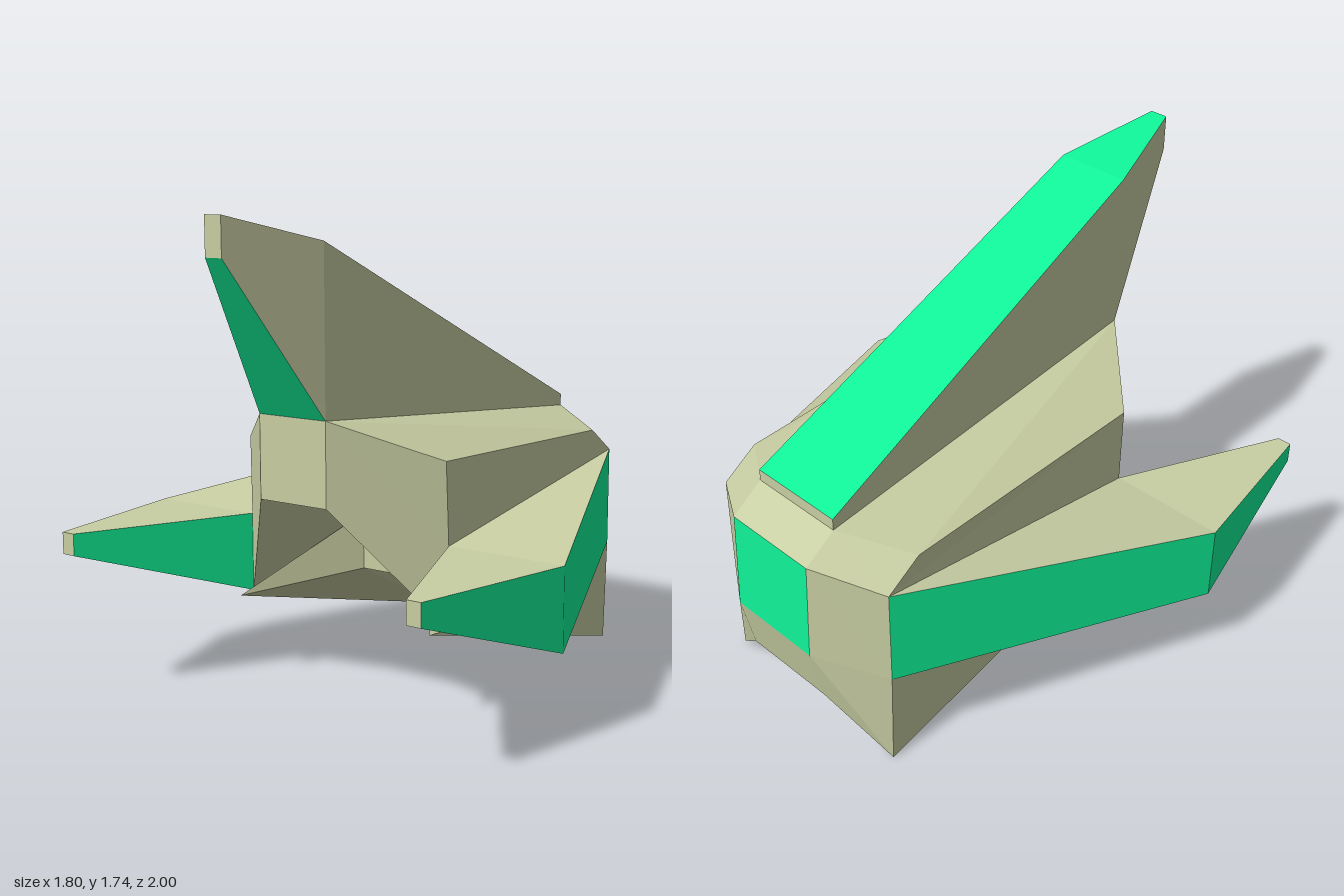
import * as THREE from 'three';

const tan = new THREE.MeshStandardMaterial({ color: 0xc8cea3, flatShading: true, side: THREE.DoubleSide });
const green = new THREE.MeshStandardMaterial({ color: 0x10f096, flatShading: true, side: THREE.DoubleSide });

// The tail end sits slightly to the right of the centre line
const skew = ([x, y, z]) => new THREE.Vector3(z < -0.5 ? x - 0.02 : x, y, z);
const flip = ([x, y, z]) => [-x, y, z];
const mirrored = faces => [...faces, ...faces.map(f => f.map(flip))];
// Panel spanning both sides between two points
const across = (a, b) => [a, b, flip(b), flip(a)];

// Flat polygons as triangle fans, wound to face away from an inner point
function panels(name, faces, material, inside) {
  const centre = new THREE.Vector3(...inside);
  const pos = [];
  for (const face of faces) {
    const p = face.map(skew);
    for (let i = 1; i < p.length - 1; i++) {
      const t = new THREE.Triangle(p[0], p[i], p[i + 1]);
      const n = t.getNormal(new THREE.Vector3());
      const out = n.dot(t.a.clone().sub(centre)) >= 0;
      for (const v of out ? [t.a, t.b, t.c] : [t.a, t.c, t.b]) pos.push(v.x, v.y, v.z);
    }
  }
  const g = new THREE.BufferGeometry();
  g.setAttribute('position', new THREE.Float32BufferAttribute(pos, 3));
  g.computeVertexNormals();
  const mesh = new THREE.Mesh(g, material);
  mesh.name = name;
  return mesh;
}

function group(name, ...children) {
  const g = new THREE.Group();
  g.name = name;
  return g.add(...children);
}

// Shared hull corners on the left (+x) side
const noseTop = [0.145, 1.05, 0.63], noseLow = [0.145, 0.75, 0.63];
const cheekTop = [0.44, 0.905, 0.35], cheekLow = [0.445, 0.61, 0.34], cheekBase = [0.445, 0.315, 0.34];
const shoulder = [0.43, 0.87, -0.7], cornerTop = [0.43, 0.775, -0.84], cornerLow = [0.43, 0.395, -0.84];
const roofBack = [0.19, 0.93, -0.86], rearTop = [0.19, 0.84, -0.985];
const rearMid = [0.19, 0.455, -1], rearLow = [0.19, 0.23, -0.95];
const ceilingBack = [0.145, 0.6, 0.05], floorFront = [0.145, 0.385, 0.05];
const spike = [0.43, 0.315, 0.43], flapTip = [0.42, 0, -0.84];

function hull() {
  const inside = [0, 0.8, -0.3];
  return group('hull',
    panels('shell', [
      across(noseTop, noseLow), across(noseTop, roofBack), across(roofBack, rearTop),
      ...mirrored([
        [noseTop, noseLow, cheekLow, cheekTop],
        [noseTop, cheekTop, shoulder, roofBack],
        [roofBack, shoulder, cornerTop, rearTop],
        [cheekTop, cheekLow, cornerTop, shoulder],
      ])], tan, inside),
    panels('frontRecess', [
      across(noseLow, ceilingBack), across(ceilingBack, floorFront),
      ...mirrored([
        [noseLow, cheekLow, cheekBase],
        [noseLow, cheekBase, ceilingBack],
        [ceilingBack, cheekBase, spike],
        [ceilingBack, spike, floorFront],
      ])], tan, inside),
    panels('belly', [across(floorFront, rearLow)], tan, inside),
    panels('lowerFlaps', mirrored([
      [floorFront, spike, flapTip, rearLow],
      [spike, cheekBase, cornerLow, flapTip],
    ]), tan, inside),
    panels('rearFrame', [
      across(rearMid, rearLow),
      ...mirrored([
        [rearTop, cornerTop, cornerLow, rearMid],
        [rearMid, cornerLow, flapTip, rearLow],
      ])], tan, inside),
    panels('rearPanel', [across(rearTop, rearMid)], green, inside));
}

// Upright fin leaning forward over the nose
function fin() {
  const inside = [0, 1.2, 0.3];
  const tipTop = [0.035, 1.735, 1], tipLow = [0.035, 1.6, 1];
  const crest = [0.145, 1.645, 0.63], tail = [0.19, 0.975, -0.86];
  return group('topFin',
    panels('finSides', [
      across(tipTop, tipLow), across(tail, roofBack),
      ...mirrored([
        [tipLow, tipTop, crest, noseTop],
        [noseTop, crest, tail, roofBack],
      ])], tan, inside),
    panels('finEdges', [across(tipTop, crest), across(crest, tail), across(tipLow, noseTop)], green, inside));
}

// Swept wing with a tapered forward prong
function wing(side) {
  const place = faces => side > 0 ? faces : faces.map(f => f.map(flip));
  const outTop = [0.9, 0.61, 0.34], outLow = [0.9, 0.315, 0.34];
  const tip = [[0.725, 0.61, 0.97], [0.78, 0.61, 0.97], [0.78, 0.53, 0.97], [0.725, 0.53, 0.97]];
  const inside = [side * 0.62, 0.48, 0.25];
  return group(side > 0 ? 'leftWing' : 'rightWing',
    panels('wingSkin', place([
      [cheekLow, outTop, cornerTop],
      [cheekLow, tip[0], tip[1], outTop],
      [cheekBase, cornerLow, outLow],
      [cheekBase, outLow, tip[2], tip[3]],
      tip,
    ]), tan, inside),
    panels('wingEdges', place([
      [outTop, outLow, cornerLow, cornerTop],
      [outTop, tip[1], tip[2], outLow],
      [cheekLow, cheekBase, tip[3], tip[0]],
    ]), green, inside));
}

export function createModel() {
  return group('craft', hull(), fin(), wing(1), wing(-1));
}
